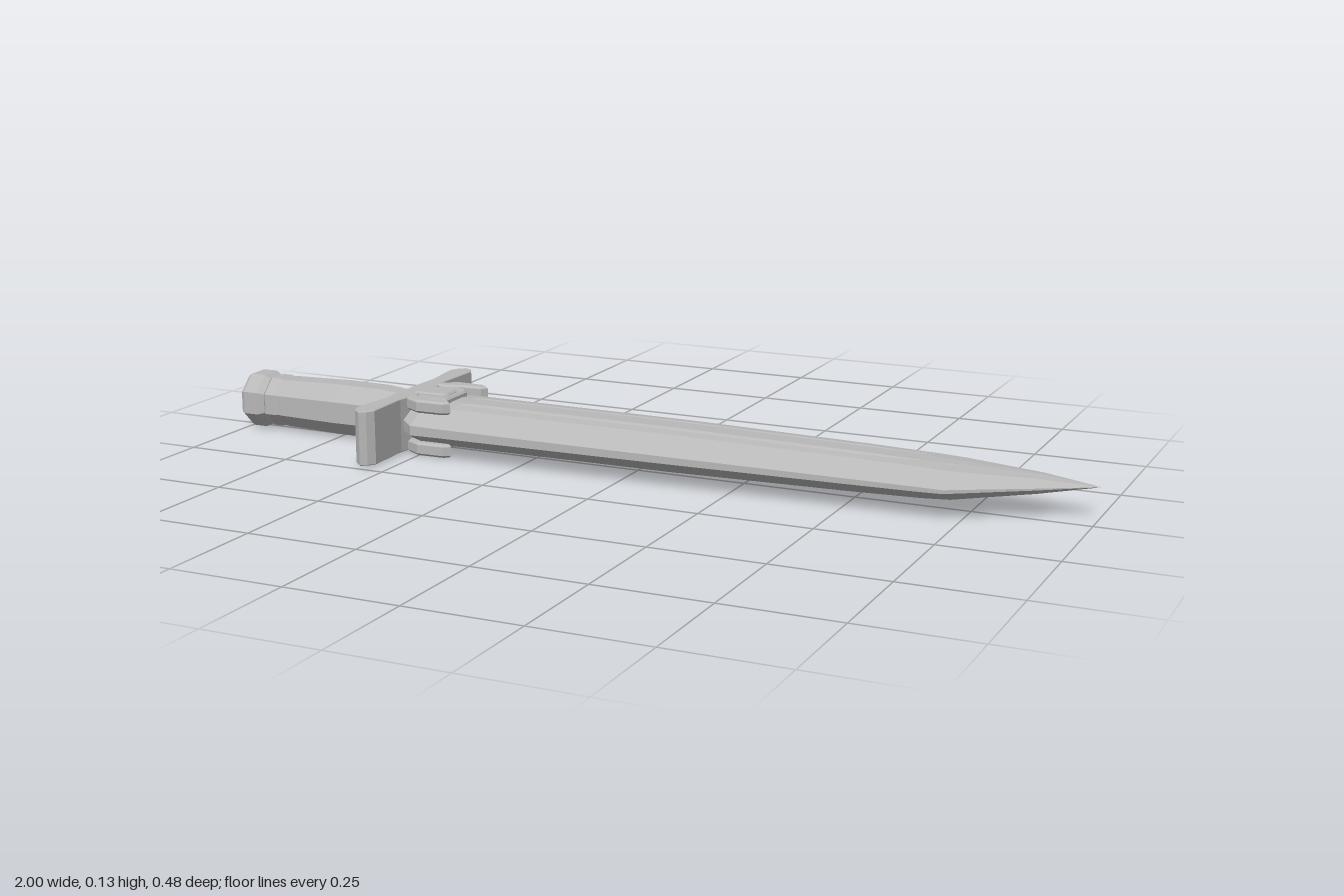
import * as THREE from 'three';

const MID = 0.065; // height of the sword's centre line

export function createModel() {
  const sword = new THREE.Group();
  sword.name = 'sword';
  const steel = new THREE.MeshStandardMaterial({ color: 0xb8b8b8 });
  steel.name = 'steel grey';

  // Adds a mesh with faceted normals
  function add(name, geometry) {
    const flat = geometry.index ? geometry.toNonIndexed() : geometry;
    flat.computeVertexNormals();
    const mesh = new THREE.Mesh(flat, steel);
    mesh.name = name;
    sword.add(mesh);
  }

  // Extrudes an outline of [x, z] points between two heights, with a small chamfer
  function plate(name, outline, y0, y1, bevel) {
    const shape = new THREE.Shape(outline.map(([x, z]) => new THREE.Vector2(x, z)));
    const g = new THREE.ExtrudeGeometry(shape, {
      depth: y1 - y0 - 2 * bevel, bevelEnabled: bevel > 0,
      bevelThickness: bevel, bevelSize: bevel, bevelOffset: -bevel, bevelSegments: 1,
    });
    g.rotateX(Math.PI / 2).translate(0, y1 - bevel, 0);
    add(name, g);
  }

  // Joins cross-sections (arrays of Vector3) into a skin closed at the start
  function loft(sections) {
    const pos = [];
    const tri = (...v) => v.forEach((p) => pos.push(p.x, p.y, p.z));
    const n = sections[0].length;
    const centre = new THREE.Vector3();
    sections[0].forEach((p) => centre.addScaledVector(p, 1 / n));
    for (let i = 0; i < n; i++) {
      const j = (i + 1) % n;
      tri(centre, sections[0][i], sections[0][j]);
      for (let s = 0; s < sections.length - 1; s++) {
        const a = sections[s], b = sections[s + 1];
        tri(a[i], b[i], b[j]);
        tri(a[i], b[j], a[j]);
      }
    }
    const g = new THREE.BufferGeometry();
    g.setAttribute('position', new THREE.Float32BufferAttribute(pos, 3));
    return g;
  }

  // Blade section: bevelled edges, broad flat and two narrow grooves on each face
  function bladeSection([x, back, front, h, edge, groove, zc, k]) {
    const half = [
      [front, edge],
      [zc + (front - zc) * 0.52, h * 0.88],
      [zc + 0.038 * k, h * 0.96],
      [zc + 0.031 * k, h * 0.97 - groove],
      [zc + 0.022 * k, h],
      [zc - 0.026 * k, h],
      [zc - 0.035 * k, h * 0.97 - groove],
      [zc - 0.042 * k, h * 0.96],
      [zc + (back - zc) * 0.55, h * 0.88],
      [back, edge],
    ];
    const lower = half.map(([z, y]) => [z, -y]).reverse();
    return [...half, ...lower].map(([z, y]) => new THREE.Vector3(x, MID + y, z));
  }
  // x, back edge, front edge, half height, edge half thickness, groove depth, centre z, groove spread
  add('blade', loft([
    [-0.54, -0.095, 0.09, 0.046, 0.012, 0, 0, 1],
    [-0.50, -0.134, 0.128, 0.048, 0.011, 0, 0, 1],
    [-0.43, -0.134, 0.127, 0.048, 0.010, 0, 0, 1],
    [-0.40, -0.134, 0.127, 0.048, 0.010, 0.009, 0, 1],
    [0.10, -0.130, 0.121, 0.047, 0.008, 0.009, 0, 1],
    [0.50, -0.121, 0.113, 0.041, 0.006, 0.007, 0, 0.95],
    [0.66, -0.116, 0.109, 0.037, 0.005, 0, 0, 0.85],
    [0.72, -0.112, 0.107, 0.034, 0.004, 0, -0.005, 0.7],
    [0.88, -0.087, 0.012, 0.018, 0.002, 0, -0.045, 0.25],
    [1.00, -0.064, -0.064, 0, 0, 0, -0.064, 0],
  ].map(bladeSection)));

  // Octagonal parts turned around the sword's long axis
  function turned(name, profile) {
    const pts = profile.map(([x, r]) => new THREE.Vector2(r, x));
    const g = new THREE.LatheGeometry(pts, 8, Math.PI / 8);
    g.rotateZ(-Math.PI / 2).translate(0, MID, 0);
    add(name, g);
  }
  turned('grip', [[-0.91, 0.058], [-0.89, 0.06], [-0.75, 0.064], [-0.64, 0.063], [-0.60, 0.059], [-0.54, 0.059]]);
  turned('gripRing', [[-0.94, 0.057], [-0.935, 0.061], [-0.91, 0.061], [-0.90, 0.057]]);
  turned('pommel', [[-1, 0], [-1, 0.060], [-0.99, 0.067], [-0.955, 0.067], [-0.94, 0.058], [-0.94, 0]]);

  // Cross guard, slightly bowed with chamfered ends
  const guardHalf = [
    [-0.530, 0.045], [-0.540, 0.10], [-0.536, 0.215], [-0.547, 0.232],
    [-0.562, 0.24], [-0.580, 0.225], [-0.588, 0.205], [-0.577, 0.10], [-0.580, 0.045],
  ];
  const guardMirror = guardHalf.map(([x, z]) => [x, -z]).reverse();
  plate('crossGuard', [...guardHalf, ...guardMirror], 0.004, 0.127, 0.002);

  // Clasp on both faces of the blade: centre block, raised pad and side prongs
  for (const up of [1, -1]) {
    const side = up > 0 ? 'upper' : 'lower';
    const layer = (name, outline, inner, outer, bevel) => {
      const ys = [MID + up * inner, MID + up * outer].sort((a, b) => a - b);
      plate(side + name, outline, ys[0], ys[1], bevel);
    };
    layer('ClaspBlock', [
      [-0.54, -0.035], [-0.515, -0.06], [-0.462, -0.06], [-0.452, -0.045],
      [-0.452, 0.045], [-0.462, 0.06], [-0.515, 0.06], [-0.54, 0.035],
    ], 0.03, 0.06, 0.005);
    layer('ClaspPad', [
      [-0.545, -0.03], [-0.47, -0.03], [-0.463, -0.02], [-0.463, 0.02], [-0.47, 0.03], [-0.545, 0.03],
    ], 0.05, 0.065, 0.004);
    for (const s of [1, -1]) {
      layer(s > 0 ? 'FrontProng' : 'BackProng', [
        [-0.54, 0.055], [-0.535, 0.08], [-0.50, 0.10], [-0.435, 0.098],
        [-0.42, 0.086], [-0.43, 0.072], [-0.48, 0.068], [-0.51, 0.055],
      ].map(([x, z]) => [x, z * s]), 0.034, 0.064, 0.005);
    }
  }
  return sword;
}
